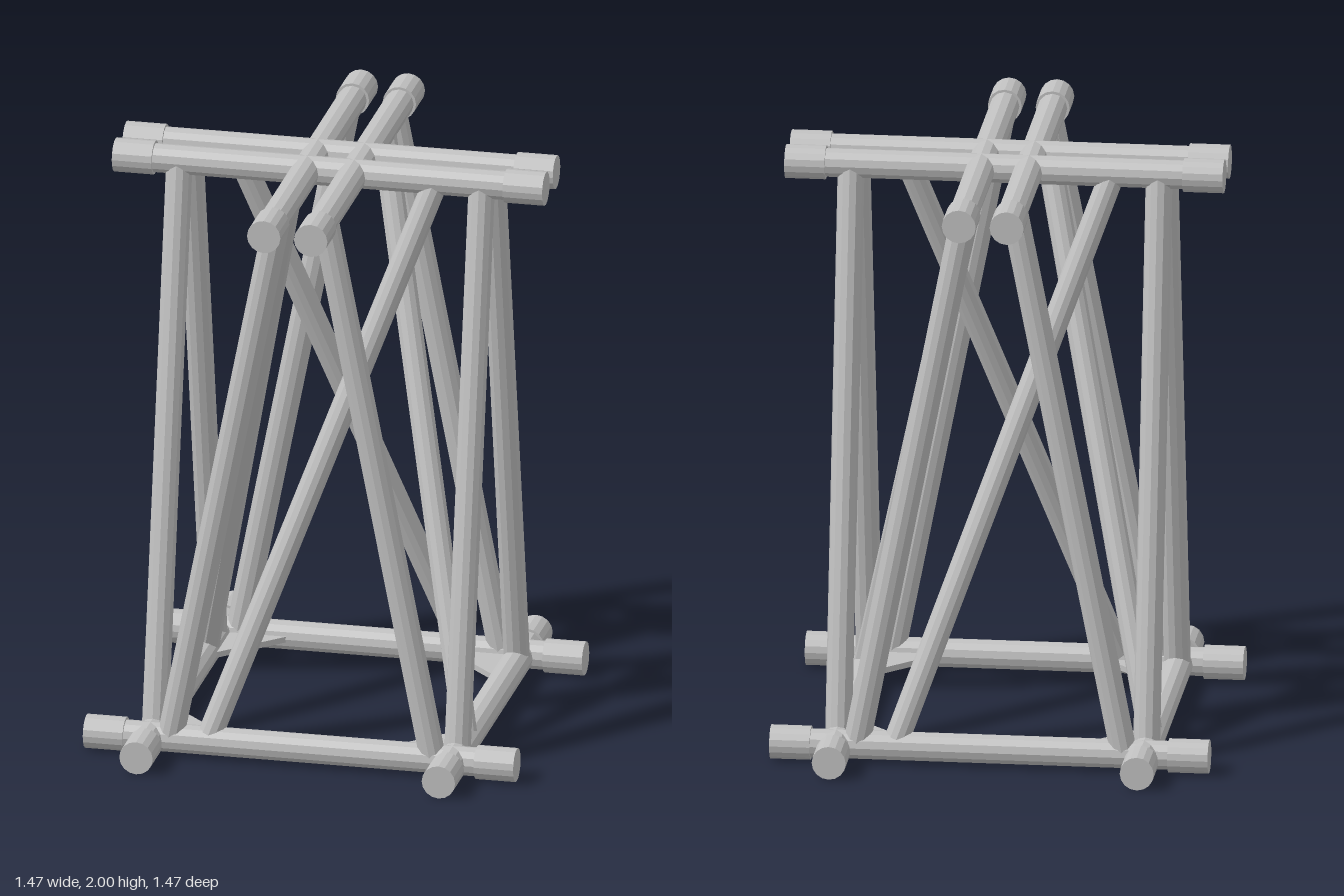
import * as THREE from 'three';

const steel = new THREE.MeshStandardMaterial({ color: 0xc0c0c0, flatShading: true });
steel.name = 'steel grey';

const LOW = 0.057, HIGH = 1.943; // heights of the bottom and top rails
const HALF = 0.515;              // bottom rail offset from the centre
const GAP = 0.08;                // top rail offset from the centre
const END = 0.733, SOCKET = 0.135;

// Straight tube between two points
function tube(name, a, b, radius, sides) {
  const from = new THREE.Vector3(...a), to = new THREE.Vector3(...b);
  const dir = to.clone().sub(from);
  const mesh = new THREE.Mesh(new THREE.CylinderGeometry(radius, radius, dir.length(), sides), steel);
  mesh.name = name;
  mesh.position.copy(from).add(to).multiplyScalar(0.5);
  mesh.quaternion.setFromUnitVectors(new THREE.Vector3(0, 1, 0), dir.normalize());
  return mesh;
}

// Horizontal rail along x with a thicker socket at each end
function rail(name, y, z) {
  const g = new THREE.Group();
  g.name = name;
  const inner = END - SOCKET;
  g.add(tube('railBar', [-inner - 0.02, y, z], [inner + 0.02, y, z], 0.049, 12));
  for (const s of [-1, 1]) {
    g.add(tube('railSocket', [s * inner, y, z], [s * END, y, z], 0.057, 16));
  }
  return g;
}

// Triangular plate bracing one bottom corner
function gusset() {
  const reach = 0.745 - HALF;
  const shape = new THREE.Shape([
    new THREE.Vector2(HALF, HALF),
    new THREE.Vector2(reach, HALF),
    new THREE.Vector2(HALF, reach),
  ]);
  const geo = new THREE.ExtrudeGeometry(shape, { depth: 0.02, bevelEnabled: false });
  geo.rotateX(Math.PI / 2);
  const mesh = new THREE.Mesh(geo, steel);
  mesh.name = 'cornerGusset';
  mesh.position.y = LOW + 0.01;
  return mesh;
}

// One face of the tower; four of these turned about y make the whole
function towerSide() {
  const g = new THREE.Group();
  g.add(rail('bottomRail', LOW, HALF), rail('topRail', HIGH, GAP));
  for (const s of [-1, 1]) {
    g.add(tube('leg', [s * 0.447, LOW, HALF], [s * GAP, HIGH, HALF], 0.045, 12));
  }
  g.add(tube('diagonalBrace', [-0.32, LOW, HALF], [0.36, HIGH, GAP], 0.042, 12));
  g.add(gusset());
  return g;
}

export function createModel() {
  const model = new THREE.Group();
  model.name = 'trussTower';
  for (let i = 0; i < 4; i++) {
    const side = towerSide();
    side.name = 'towerSide' + (i + 1);
    side.rotation.y = i * Math.PI / 2;
    model.add(side);
  }
  return model;
}
